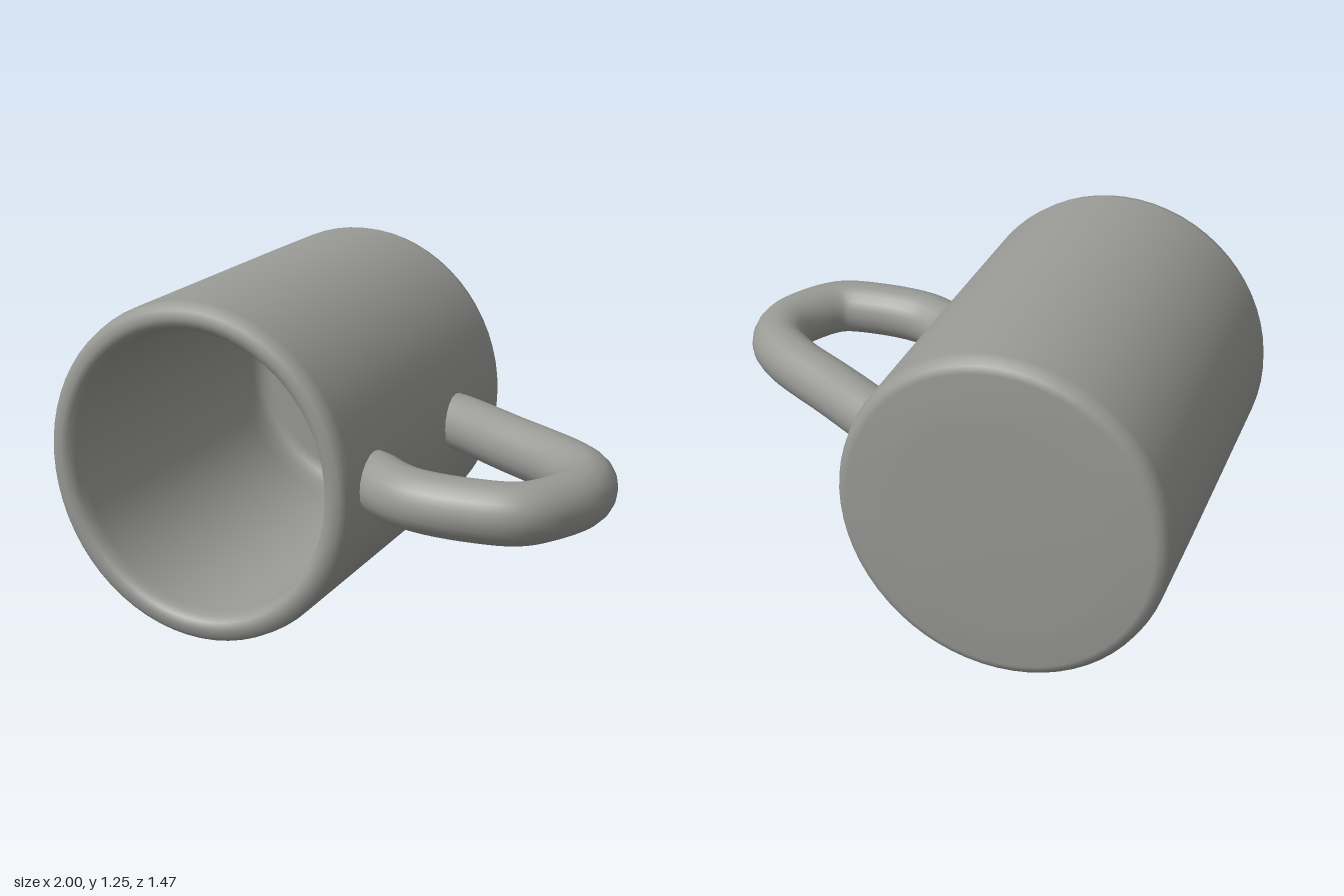
import * as THREE from 'three';

export function createModel() {
  const model = new THREE.Group();
  const clay = new THREE.MeshStandardMaterial({ color: 0x999996 });
  clay.name = 'grey clay';

  // Mug body: closed wall profile (radius, depth) from outer base to inner floor
  const profile = [
    [0, -0.738], [0.4, -0.738], [0.46, -0.732], [0.575, -0.728], [0.6, -0.72], [0.618, -0.7], [0.625, -0.67],
    [0.627, -0.3], [0.627, 0.3], [0.627, 0.68], [0.62, 0.712], [0.6, 0.73],
    [0.57, 0.735], [0.545, 0.728], [0.53, 0.705], [0.524, 0.67],
    [0.515, 0.2], [0.508, -0.5], [0.5, -0.57], [0.475, -0.605], [0.43, -0.615], [0, -0.615],
  ].map(([r, d]) => new THREE.Vector2(r, d));
  const bodyGeometry = new THREE.LatheGeometry(profile, 64);
  bodyGeometry.rotateX(Math.PI / 2);
  bodyGeometry.scale(0.953, 1, 1);
  const body = new THREE.Mesh(bodyGeometry, clay);
  body.name = 'mugBody';
  body.position.set(-0.403, 0.63, 0);
  model.add(body);

  // Handle: round loop lying in the horizontal plane, ends buried in the wall
  const path = new THREE.CatmullRomCurve3([
    [0.13, -0.27], [0.22, -0.235], [0.47, -0.085], [0.75, 0.085], [0.855, 0.19],
    [0.89, 0.33], [0.85, 0.46], [0.76, 0.58], [0.6, 0.617], [0.4, 0.607],
    [0.28, 0.555], [0.2, 0.495], [0.13, 0.47],
  ].map(([x, z]) => new THREE.Vector3(x, 0, z)));
  const handle = new THREE.Mesh(new THREE.TubeGeometry(path, 72, 0.107, 20), clay);
  handle.name = 'handle';
  handle.position.y = 0.632;
  model.add(handle);

  return model;
}
